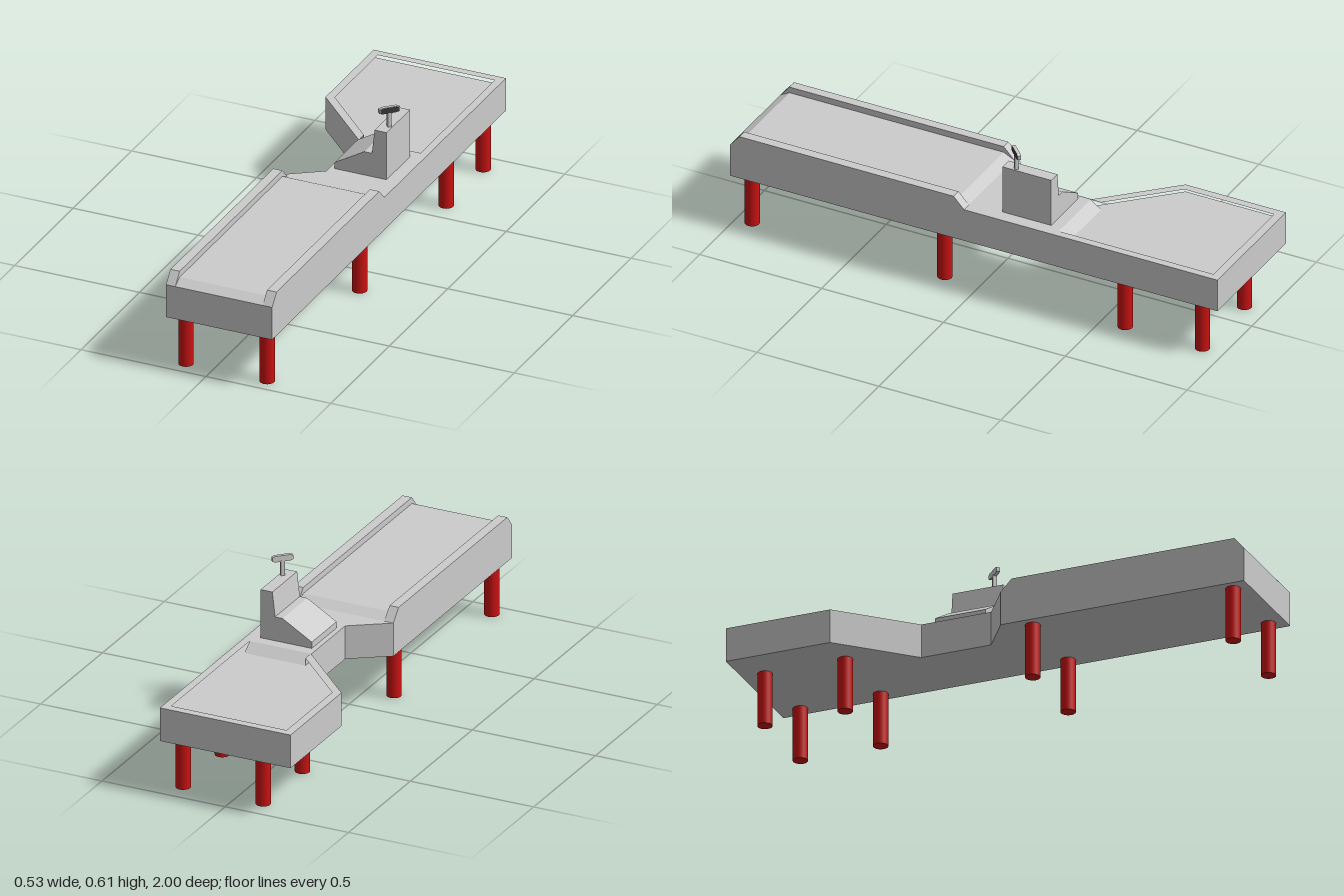
import * as THREE from 'three';

const grey = new THREE.MeshStandardMaterial({ color: 0xcccccc });
const red = new THREE.MeshStandardMaterial({ color: 0xc81212 });
const dark = new THREE.MeshStandardMaterial({ color: 0x3a3a3a });

const toShape = (pts) => new THREE.Shape(pts.map(([x, y]) => new THREE.Vector2(x, y)));
const extrude = (shape, depth) => new THREE.ExtrudeGeometry(shape, { depth, bevelEnabled: false });

// Plan outline of [x, z] points raised from y0 to y1, with an optional hole
function slab(outline, y0, y1, hole) {
  const flip = (pts) => pts.map(([x, z]) => [x, -z]);
  const shape = toShape(flip(outline));
  if (hole) shape.holes.push(toShape(flip(hole)));
  return extrude(shape, y1 - y0).rotateX(-Math.PI / 2).translate(0, y0, 0);
}

// Side profile of [z, y] points swept from x0 to x1
function sweepX(profile, x0, x1) {
  return extrude(toShape(profile.map(([z, y]) => [-z, y])), x1 - x0)
    .rotateY(Math.PI / 2).translate(x0, 0, 0);
}

export function createModel() {
  const model = new THREE.Group();
  const add = (name, geometry, material = grey, parent = model) => {
    const mesh = new THREE.Mesh(geometry, material);
    mesh.name = name;
    parent.add(mesh);
    return mesh;
  };

  // Counter body: solid lower slab, upper slab cut out for the bagging tray
  const bottom = 0.208, floor = 0.31, top = 0.34;
  const outline = [
    [0.265, -1], [0.265, 1], [-0.16, 1], [-0.16, 0.04],
    [-0.015, -0.06], [-0.015, -0.335], [-0.265, -0.588], [-0.265, -1],
  ];
  const trayHole = [
    [0.235, -0.968], [0.235, -0.333], [-0.012, -0.333], [-0.012, -0.376],
    [-0.233, -0.6], [-0.233, -0.968],
  ];
  add('counterBase', slab(outline, bottom, floor));
  add('counterTop', slab(outline, floor, top, trayHole));
  add('trayRamp', sweepX([[-0.333, floor], [-0.333, top], [-0.376, floor]], -0.012, 0.235));

  // Conveyor belt with sloped ends, between two side rails
  const raised = (y) => [[0.04, top], [0.083, y], [0.962, y], [1, top]];
  add('conveyorBelt', sweepX(raised(0.361), -0.123, 0.227));
  for (const [name, x0, x1] of [['rightRail', -0.16, -0.123], ['leftRail', 0.227, 0.265]]) {
    add(name, sweepX(raised(0.385), x0, x1));
  }

  // Register housing with a sloped keyboard side
  const housing = toShape([
    [0.005, top], [0.213, top], [0.213, 0.532], [0.165, 0.532],
    [0.154, 0.435], [0.124, 0.435], [0.005, 0.365],
  ]);
  add('registerHousing', extrude(housing, 0.2).translate(0, 0, -0.29));

  // Customer display, turned diagonally on its post
  const display = new THREE.Group();
  display.name = 'customerDisplay';
  display.position.set(0.2, 0.532, -0.14);
  display.rotation.y = Math.PI / 4;
  model.add(display);
  add('displayPost', new THREE.BoxGeometry(0.014, 0.06, 0.014).translate(0, 0.03, 0), grey, display);
  const octagon = (w, h, cx, cy) => toShape([
    [-w, -h + cy], [-w + cx, -h], [w - cx, -h], [w, -h + cy],
    [w, h - cy], [w - cx, h], [-w + cx, h], [-w, h - cy],
  ]);
  add('displayHead', extrude(octagon(0.04, 0.012, 0.012, 0.004), 0.013).translate(0, 0.068, -0.0065), grey, display);
  add('displayScreen', extrude(octagon(0.036, 0.0105, 0.011, 0.0035), 0.001).translate(0, 0.068, 0.0062), dark, display);

  // Four pairs of round legs
  const legGeometry = new THREE.CylinderGeometry(0.028, 0.028, bottom, 24);
  for (const z of [0.936, 0.145, -0.595, -0.912]) {
    for (const x of [-0.11, 0.215]) {
      add('leg', legGeometry, red).position.set(x, bottom / 2, z);
    }
  }
  return model;
}
